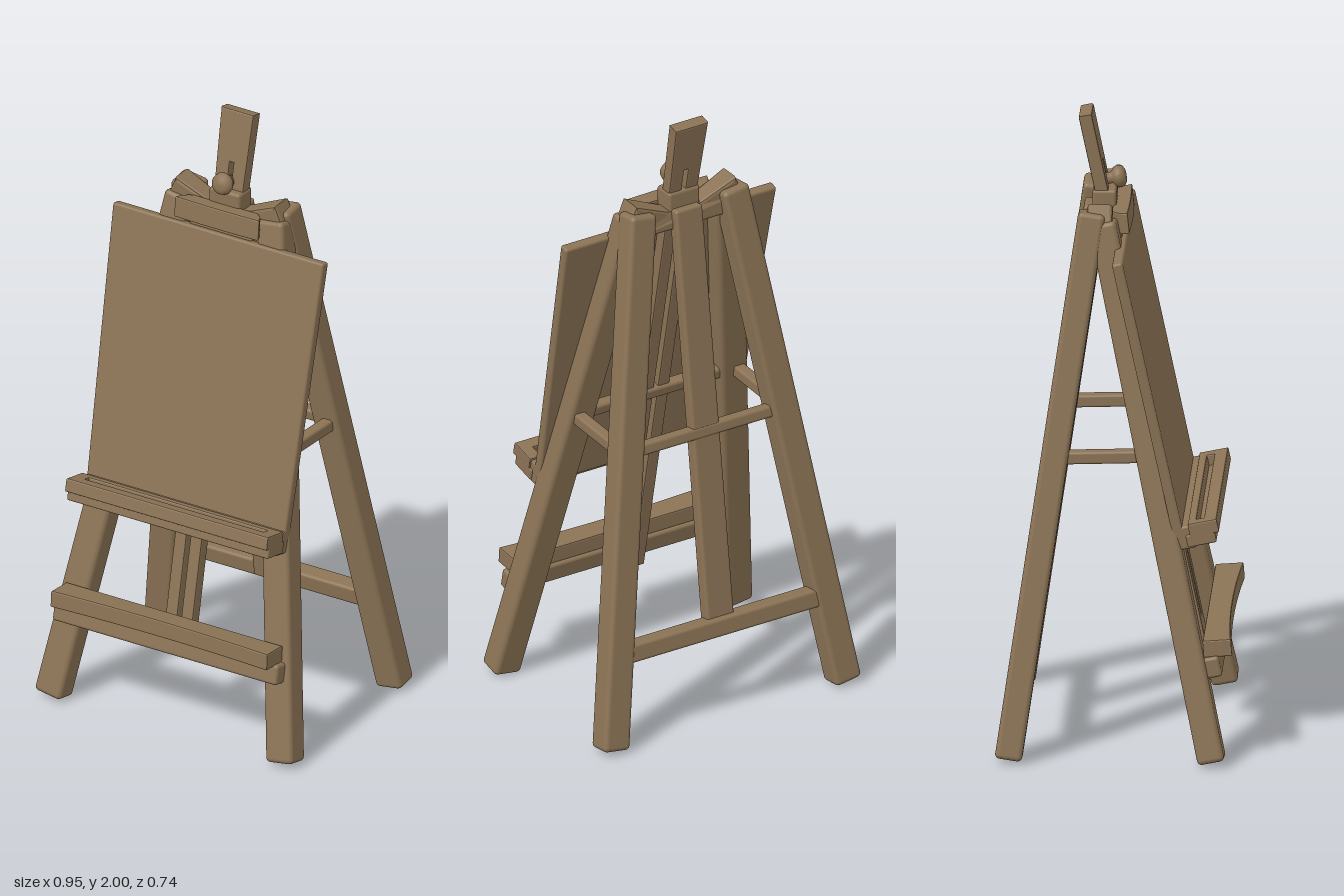
import * as THREE from 'three';
import { RoundedBoxGeometry } from 'three/addons/geometries/RoundedBoxGeometry.js';

const LEAN = -0.21; // backward tilt of the front frame
const UP = new THREE.Vector3(0, 1, 0);

export function createModel() {
  const root = new THREE.Group();
  root.name = 'easel';
  const wood = new THREE.MeshStandardMaterial({ color: 0x8b7355 });
  wood.name = 'brown wood';

  function add(name, geometry, x = 0, y = 0, z = 0, tilt = 0) {
    const mesh = new THREE.Mesh(geometry, wood);
    mesh.name = name;
    mesh.position.set(x, y, z);
    mesh.rotation.x = tilt;
    root.add(mesh);
    return mesh;
  }
  const box = (w, h, d, r = 0.01) => new RoundedBoxGeometry(w, h, d, 3, r);

  // straight timber running between two points
  function beam(name, a, b, w, d, r = 0.01) {
    const p = new THREE.Vector3(...a), q = new THREE.Vector3(...b);
    const dir = q.clone().sub(p);
    const mesh = add(name, box(w, dir.length(), d, r));
    mesh.position.copy(p).add(q).multiplyScalar(0.5);
    mesh.quaternion.setFromUnitVectors(UP, dir.normalize());
    return mesh;
  }

  function polygon(points) {
    return new THREE.Shape(points.map(([x, y]) => new THREE.Vector2(x, y)));
  }
  function slot(w, y0, y1) {
    return new THREE.Path([[-w, y0], [-w, y1], [w, y1], [w, y0]].map(([x, y]) => new THREE.Vector2(x, y)));
  }
  function extrude(shape, depth, bevel = 0.005) {
    const g = new THREE.ExtrudeGeometry(shape, {
      depth: depth - 2 * bevel, bevelThickness: bevel, bevelSize: bevel,
      bevelOffset: -bevel, bevelSegments: 2, curveSegments: 12,
    });
    return g.translate(0, 0, -depth / 2 + bevel);
  }

  // four splayed legs and the side rungs
  for (const s of [-1, 1]) {
    const side = s > 0 ? 'left' : 'right';
    beam(side + 'FrontLeg', [s * 0.43, 0.01, 0.312], [s * 0.17, 1.69, -0.042], 0.098, 0.085, 0.015);
    beam(side + 'BackLeg', [s * 0.43, 0.01, -0.324], [s * 0.17, 1.72, -0.075], 0.095, 0.085, 0.015);
    beam(side + 'SideRung', [s * 0.295, 0.965, 0.1], [s * 0.295, 0.955, -0.19], 0.04, 0.04, 0.008);
  }

  // crossbars
  add('lowerBackBar', box(0.76, 0.06, 0.06), 0, 0.31, -0.288, 0.15);
  add('upperBackBar', box(0.56, 0.04, 0.04), 0, 0.955, -0.19, 0.15);
  add('upperFrontBar', box(0.56, 0.04, 0.04), 0, 0.965, 0.1, LEAN);
  beam('backStrut', [0, 0.285, -0.275], [0, 1.7, -0.085], 0.1, 0.045);

  // slotted mast, slightly wider at its top
  const mast = polygon([[-0.05, -0.88], [0.05, -0.88], [0.05, 0.5], [0.06, 0.88], [-0.06, 0.88], [-0.05, 0.5]]);
  mast.holes.push(slot(0.007, -0.8, 0.71));
  add('mast', extrude(mast, 0.042), 0, 1.138, 0.075, -0.204);

  // canvas, narrowing in a gentle curve toward its foot
  const canvas = new RoundedBoxGeometry(0.78, 0.95, 0.034, 3, 0.008);
  const cp = canvas.attributes.position;
  for (let i = 0; i < cp.count; i++) {
    const t = 0.5 - cp.getY(i) / 0.95;
    cp.setX(i, cp.getX(i) * (1 - 0.06 * t));
  }
  canvas.computeVertexNormals();
  add('canvas', canvas, 0, 1.155, 0.112, LEAN);

  // upper ledge with a groove for brushes
  const ledge = polygon([[-0.373, -0.046], [0.373, -0.046], [0.373, 0.046], [-0.373, 0.046]]);
  ledge.holes.push(new THREE.Path([[-0.33, -0.02], [-0.33, 0.004], [0.33, 0.004], [0.33, -0.02]]
    .map(([x, y]) => new THREE.Vector2(x, y))));
  add('ledgeTop', extrude(ledge, 0.045).rotateX(Math.PI / 2), 0, 0.754, 0.282, LEAN);
  add('ledgeBase', box(0.746, 0.04, 0.092, 0.006), 0, 0.719, 0.275, LEAN);
  add('ledgeBackRail', box(0.735, 0.075, 0.06, 0.008), 0, 0.72, 0.225, LEAN);

  // lower ledge with a bowed front edge, on its support bar
  const lower = new THREE.Shape();
  lower.moveTo(-0.4, -0.042);
  lower.lineTo(0.4, -0.042);
  lower.lineTo(0.4, 0.046);
  lower.quadraticCurveTo(0, 0.018, -0.4, 0.046);
  add('lowerLedge', extrude(lower, 0.056).rotateX(Math.PI / 2), 0, 0.37, 0.325, -0.08);
  add('lowerLedgeBar', box(0.83, 0.066, 0.055), 0, 0.31, 0.31, LEAN);

  // head block with a wing reaching each leg
  const wings = polygon([[-0.185, 1.75], [-0.06, 1.695], [0.06, 1.695], [0.185, 1.75],
    [0.21, 1.69], [0.2, 1.63], [-0.2, 1.63], [-0.21, 1.69]]);
  const wingGeometry = extrude(wings, 0.08, 0.01);
  const wp = wingGeometry.attributes.position;
  for (let i = 0; i < wp.count; i++) {
    wp.setZ(i, wp.getZ(i) * (0.65 + 0.35 * Math.min(1, Math.abs(wp.getX(i)) / 0.15)));
  }
  wingGeometry.computeVertexNormals();
  add('headWings', wingGeometry, 0, 0, -0.05);
  add('mastCollar', box(0.115, 0.11, 0.075), 0, 1.7, -0.043);

  // sliding clamp over the top of the canvas
  const clamp = new THREE.Shape();
  clamp.moveTo(-0.115, -0.028);
  clamp.lineTo(0.115, -0.028);
  clamp.quadraticCurveTo(0.145, -0.015, 0.155, 0.022);
  clamp.quadraticCurveTo(0, 0.03, -0.155, 0.022);
  clamp.quadraticCurveTo(-0.145, -0.015, -0.115, -0.028);
  add('canvasClamp', extrude(clamp, 0.07).rotateX(Math.PI / 2), 0, 1.675, 0.015, -0.1);
  add('clampLip', box(0.23, 0.04, 0.025, 0.006), 0, 1.635, 0.0, LEAN);

  // tightening knob
  const knob = [[0, -0.04], [0.018, -0.04], [0.018, -0.012], [0.03, -0.004], [0.036, 0.01], [0.033, 0.024], [0.02, 0.032], [0, 0.034]]
    .map(([x, y]) => new THREE.Vector2(x, y));
  add('knob', new THREE.LatheGeometry(knob, 24).rotateX(Math.PI / 2), 0, 1.783, -0.01, LEAN);

  return root;
}
